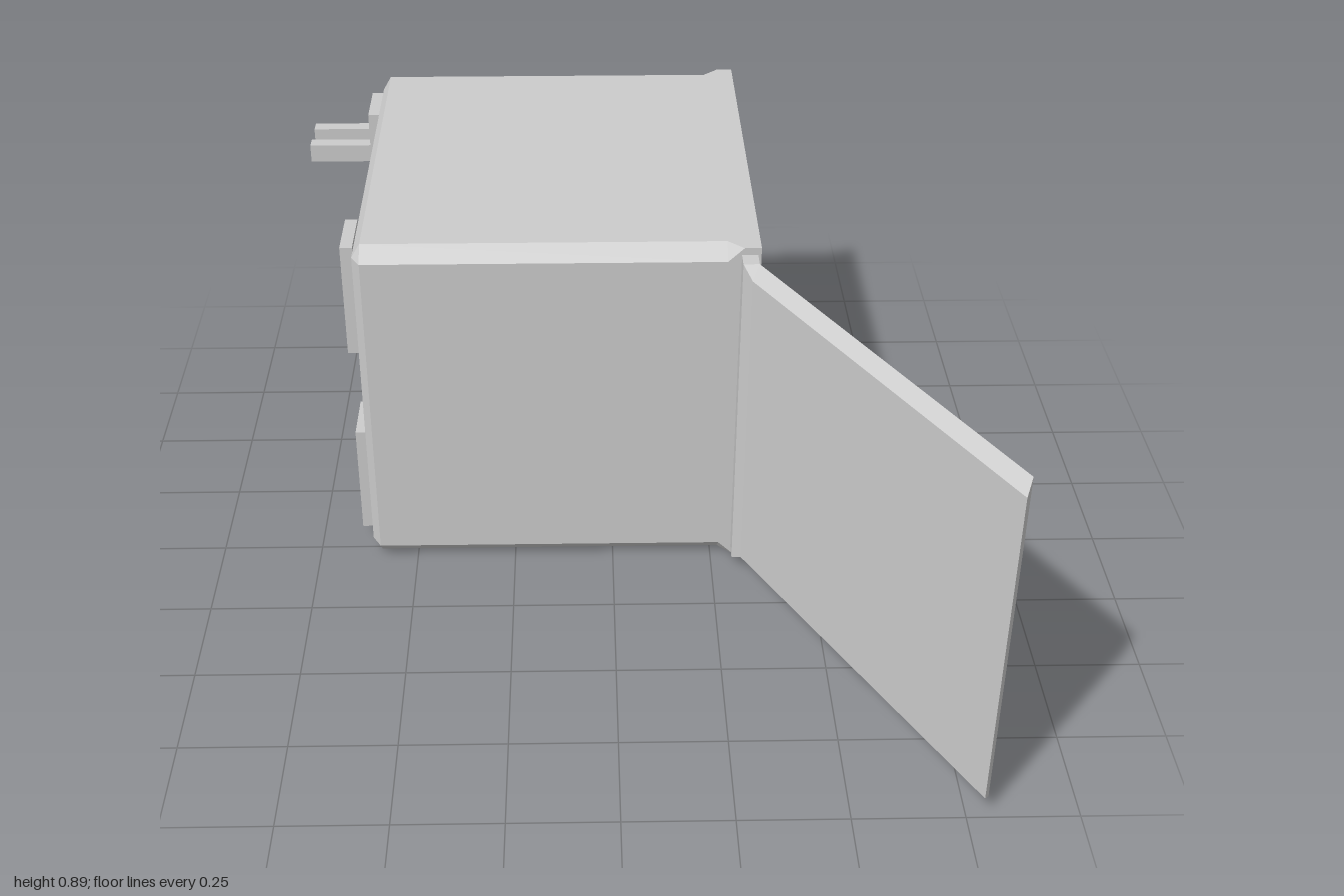
import * as THREE from 'three';

const mat = new THREE.MeshStandardMaterial({ color: 0xcccccc, flatShading: true, side: THREE.DoubleSide });

// Skin a list of cross-sections (counter-clockwise about the travel direction)
function loft(sections, capStart, capEnd) {
  const pos = [];
  const tri = (a, b, c) => {
    const n = b.clone().sub(a).cross(c.clone().sub(a));
    if (n.length() > 1e-9) [a, b, c].forEach((p) => pos.push(p.x, p.y, p.z));
  };
  const n = sections[0].length;
  for (let i = 0; i < sections.length - 1; i++) {
    for (let j = 0; j < n; j++) {
      const k = (j + 1) % n;
      const s = sections[i], t = sections[i + 1];
      tri(s[j], s[k], t[k]);
      tri(s[j], t[k], t[j]);
    }
  }
  const first = sections[0], last = sections[sections.length - 1];
  for (let j = 1; j < n - 1; j++) {
    if (capStart) tri(first[0], first[j + 1], first[j]);
    if (capEnd) tri(last[0], last[j], last[j + 1]);
  }
  const g = new THREE.BufferGeometry();
  g.setAttribute('position', new THREE.Float32BufferAttribute(pos, 3));
  g.computeVertexNormals();
  return g;
}

// Rectangle across x, shrunk by inset, with corners cut by c
function shellSection(x, inset, c) {
  const y0 = inset, y1 = 0.89 - inset, z0 = -1 + inset, z1 = 0.045 - inset;
  return [
    [y0, z1 - c], [y0, z0 + c], [y0 + c, z0], [y1 - c, z0],
    [y1, z0 + c], [y1, z1 - c], [y1 - c, z1], [y0 + c, z1],
  ].map(([y, z]) => new THREE.Vector3(x, y, z));
}

// Door slice: outer edge at full height, inner edge shortened by inset
function doorSection([xa, za], [xb, zb], inset) {
  const y0 = 0.022, y1 = 0.872;
  return [
    new THREE.Vector3(xa, y0, za), new THREE.Vector3(xa, y1, za),
    new THREE.Vector3(xb, y1 - inset, zb), new THREE.Vector3(xb, y0 + inset, zb),
  ];
}

export function createModel() {
  const model = new THREE.Group();
  const add = (name, geometry) => {
    const mesh = new THREE.Mesh(geometry, mat);
    mesh.name = name;
    model.add(mesh);
  };
  const box = (name, x0, x1, y0, y1, z0, z1) => add(name,
    new THREE.BoxGeometry(x1 - x0, y1 - y0, z1 - z0)
      .translate((x0 + x1) / 2, (y0 + y1) / 2, (z0 + z1) / 2));

  // Thin box shell, open at +x, bevelled edges turning square at the rim
  const b = 0.036;
  add('shell', loft([
    shellSection(-0.615, b, 0),
    shellSection(-0.594, 0, b),
    shellSection(0.27, 0, b),
    shellSection(0.308, 0, 0),
    shellSection(0.348, 0, 0),
  ], true, false));

  // Hinge strip and the open door
  add('door', loft([
    doorSection([0.34, 0.045], [0.302, 0.045], 0),
    doorSection([0.34, 0.09], [0.302, 0.09], 0),
    doorSection([0.34, 0.09], [0.322, 0.125], 0.026),
    doorSection([0.804, 0.958], [0.788, 0.992], 0.026),
  ], true, true));

  // Four foot pads on the closed end: [bottom y, back z]
  [[0.575, -0.165], [0.56, -0.947], [0.043, -0.177], [0.055, -0.92]].forEach(([y, z], i) =>
    box(`footPad${i + 1}`, -0.645, -0.615, y, y + 0.29, z, z + 0.145));

  // Plug prongs
  [-0.955, -0.85].forEach((z, i) =>
    box(`prong${i + 1}`, -0.81, -0.645, 0.708, 0.756, z, z + 0.038));

  return model;
}
